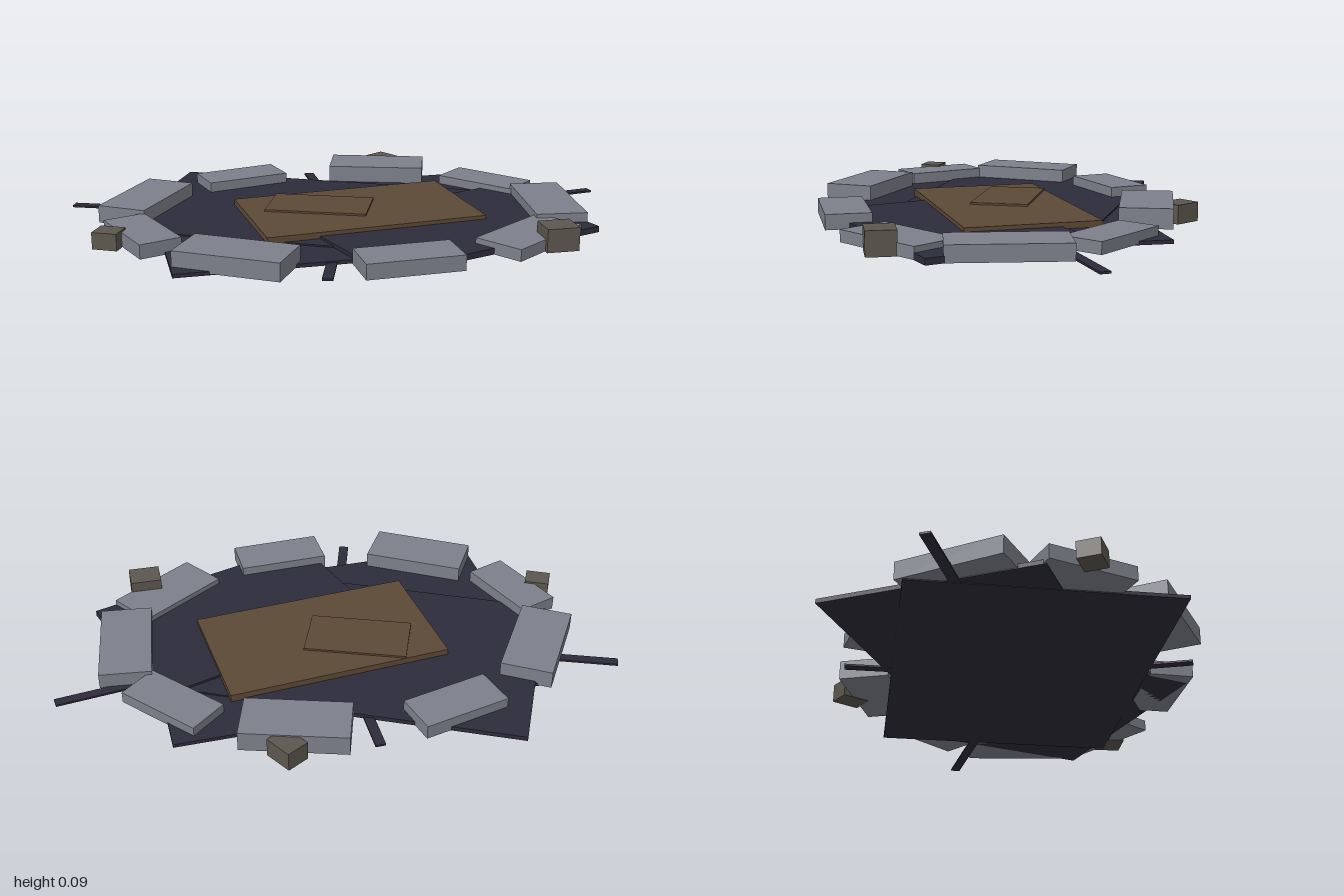
import * as THREE from 'three';

const mat = (name, color) => {
  const m = new THREE.MeshStandardMaterial({ color });
  m.name = name;
  return m;
};

export function createModel() {
  const stone = mat('grey stone', 0x7d808a);
  const scorched = mat('dark ground', 0x2d2b3a);
  const earth = mat('brown earth', 0x5c4936);
  const rubble = mat('rubble', 0x5c574e);
  const model = new THREE.Group();
  model.name = 'crater';

  // Flat slab: centre x/z, length, width, y range, turn in degrees seen from above
  function slab(name, material, x, z, length, width, y0, y1, turn) {
    const mesh = new THREE.Mesh(new THREE.BoxGeometry(length, y1 - y0, width), material);
    mesh.position.set(x, (y0 + y1) / 2, z);
    mesh.rotation.y = THREE.MathUtils.degToRad(turn);
    mesh.name = name;
    model.add(mesh);
  }

  // Overlapping ground plates
  [
    [-0.11, -0.06, 1.245, 0.78, 0.002, 0.018, -19.5],
    [-0.005, 0.025, 1.34, 0.92, 0, 0.013, 7.5],
    [0.34, 0.19, 0.9, 0.6, 0.004, 0.026, 24.5],
  ].forEach((p, i) => slab('groundPlate' + (i + 1), scorched, ...p));

  // Crater floor and the smaller slab on it
  slab('craterFloor', earth, 0.05, 0, 0.81, 0.48, 0.01, 0.04, 12);
  slab('innerSlab', earth, -0.085, -0.035, 0.37, 0.21, 0.03, 0.047, -15);

  // Thin cracks radiating outwards
  [
    [-0.8, -0.205, 0.41, 0.036, 0.001, 0.008, -15],
    [0.8, -0.187, 0.41, 0.036, 0.001, 0.008, 14.5],
    [-0.06, -0.44, 0.32, 0.036, 0.001, 0.008, -83],
    [-0.095, 0.5, 0.3, 0.036, 0.001, 0.008, 79],
  ].forEach((p, i) => slab('crack' + (i + 1), scorched, ...p));

  // Ring of rim stones: x, z, length, width, height, turn
  [
    [-0.72, -0.16, 0.38, 0.185, 0.068, 64],
    [-0.36, -0.455, 0.32, 0.155, 0.055, 20.5],
    [0.19, -0.505, 0.37, 0.185, 0.075, -11],
    [0.595, -0.315, 0.325, 0.155, 0.046, -43],
    [0.755, 0.025, 0.395, 0.185, 0.06, 90],
    [0.6, 0.36, 0.365, 0.185, 0.046, 41],
    [0.15, 0.56, 0.335, 0.16, 0.058, 9],
    [-0.405, 0.49, 0.375, 0.185, 0.068, -24.5],
    [-0.72, 0.215, 0.315, 0.152, 0.055, -64],
  ].forEach(([x, z, l, w, h, turn], i) =>
    slab('rimStone' + (i + 1), stone, x, z, l, w, 0.004, h, turn));

  // Loose rubble blocks
  [
    [-0.83, 0.24, 0.09, 0.08, 0.062, -20],
    [0.685, 0.415, 0.115, 0.1, 0.085, 6],
    [0.23, -0.612, 0.105, 0.085, 0.07, -53],
  ].forEach(([x, z, l, w, h, turn], i) =>
    slab('rubble' + (i + 1), rubble, x, z, l, w, 0.002, h, turn));

  return model;
}
